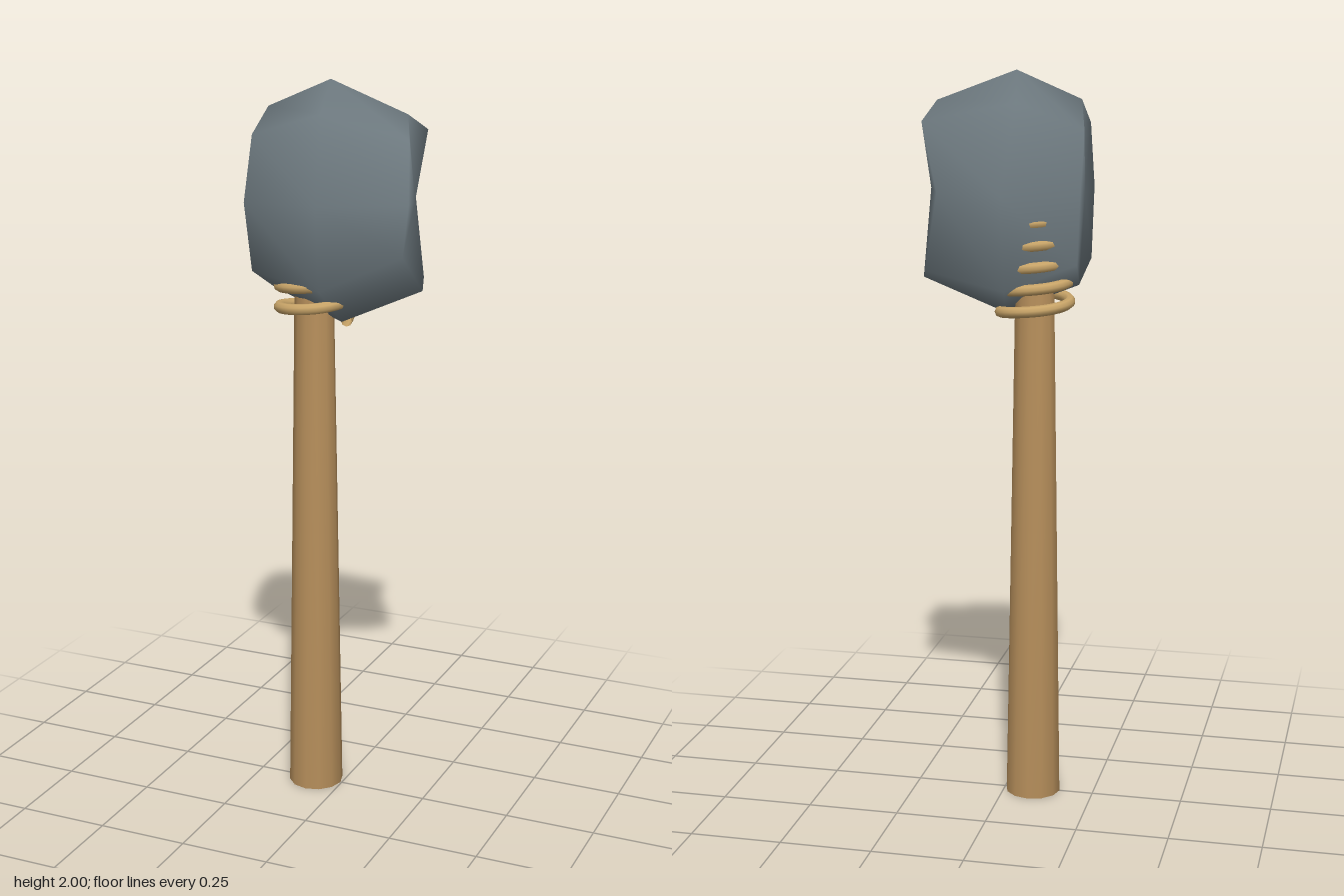
import * as THREE from 'three';
import { mergeVertices } from 'three/addons/utils/BufferGeometryUtils.js';

const paint = (color) => new THREE.MeshStandardMaterial({ color });

// Weld all corners so the shading rolls softly over every edge
function soften(geometry) {
  geometry.deleteAttribute('normal');
  geometry.deleteAttribute('uv');
  const welded = mergeVertices(geometry, 1e-4);
  welded.computeVertexNormals();
  return welded;
}

// Closed body from rings of points; each ring runs top, front, bottom, back
function loft(rings) {
  const n = rings[0].length;
  const points = rings.flat();
  const index = [];
  for (let i = 0; i < rings.length - 1; i++) {
    for (let j = 0; j < n; j++) {
      const a = i * n + j, d = i * n + (j + 1) % n;
      index.push(a, d, d + n, a, d + n, a + n);
    }
  }
  // End caps fan out from the middle of each end ring
  const last = (rings.length - 1) * n;
  for (const [start, flip] of [[0, true], [last, false]]) {
    const ring = points.slice(start, start + n);
    const c = points.length;
    points.push([0, 1, 2].map((k) => ring.reduce((s, p) => s + p[k], 0) / n));
    for (let j = 0; j < n; j++) {
      const a = start + j, b = start + (j + 1) % n;
      index.push(c, flip ? b : a, flip ? a : b);
    }
  }
  const g = new THREE.BufferGeometry();
  g.setAttribute('position', new THREE.Float32BufferAttribute(points.flat(), 3));
  g.setIndex(index);
  g.computeVertexNormals();
  return g;
}

export function createModel() {
  const group = new THREE.Group();
  const add = (name, geometry, color) => {
    const mesh = new THREE.Mesh(geometry, paint(color));
    mesh.name = name;
    group.add(mesh);
    return mesh;
  };
  const axisX = -0.08;

  // Tapered wooden handle, running up into the stone
  const handle = add('handle', soften(new THREE.CylinderGeometry(0.052, 0.076, 1.5, 12)), 0xb8905c);
  handle.position.set(axisX, 0.75, 0);

  // Rough stone head: left end, thick middle, right end
  add('stoneHead', loft([
    [[-0.2, 1.925, 0.02], [-0.21, 1.86, 0.1], [-0.213, 1.69, 0.147], [-0.215, 1.5, 0.1],
      [-0.2, 1.44, 0], [-0.205, 1.5, -0.06], [-0.215, 1.68, -0.078], [-0.22, 1.85, -0.05]],
    [[-0.03, 2, 0], [-0.02, 1.92, 0.09], [-0.01, 1.69, 0.147], [-0.02, 1.46, 0.105],
      [0, 1.36, 0], [-0.02, 1.43, -0.11], [-0.015, 1.68, -0.137], [-0.05, 1.92, -0.098]],
    [[0.185, 1.92, 0], [0.205, 1.86, 0.04], [0.22, 1.7, 0.08], [0.197, 1.56, 0.06],
      [0.215, 1.455, -0.04], [0.195, 1.48, -0.1], [0.15, 1.69, -0.148], [0.2, 1.87, -0.105]],
  ]), 0x707c82);

  // Rope lashing: a rising coil, partly sunk in the stone
  const turns = 5.5, coil = [];
  for (let i = 0; i <= turns * 12; i++) {
    const a = (i / 12) * Math.PI * 2;
    coil.push(new THREE.Vector3(axisX + 0.094 * Math.cos(a), 1.363 + 0.0575 * (i / 12), -0.094 * Math.sin(a)));
  }
  const rope = new THREE.TubeGeometry(new THREE.CatmullRomCurve3(coil), 180, 0.015, 8);
  add('ropeLashing', rope, 0xc8a468).material.side = THREE.DoubleSide;

  return group;
}
